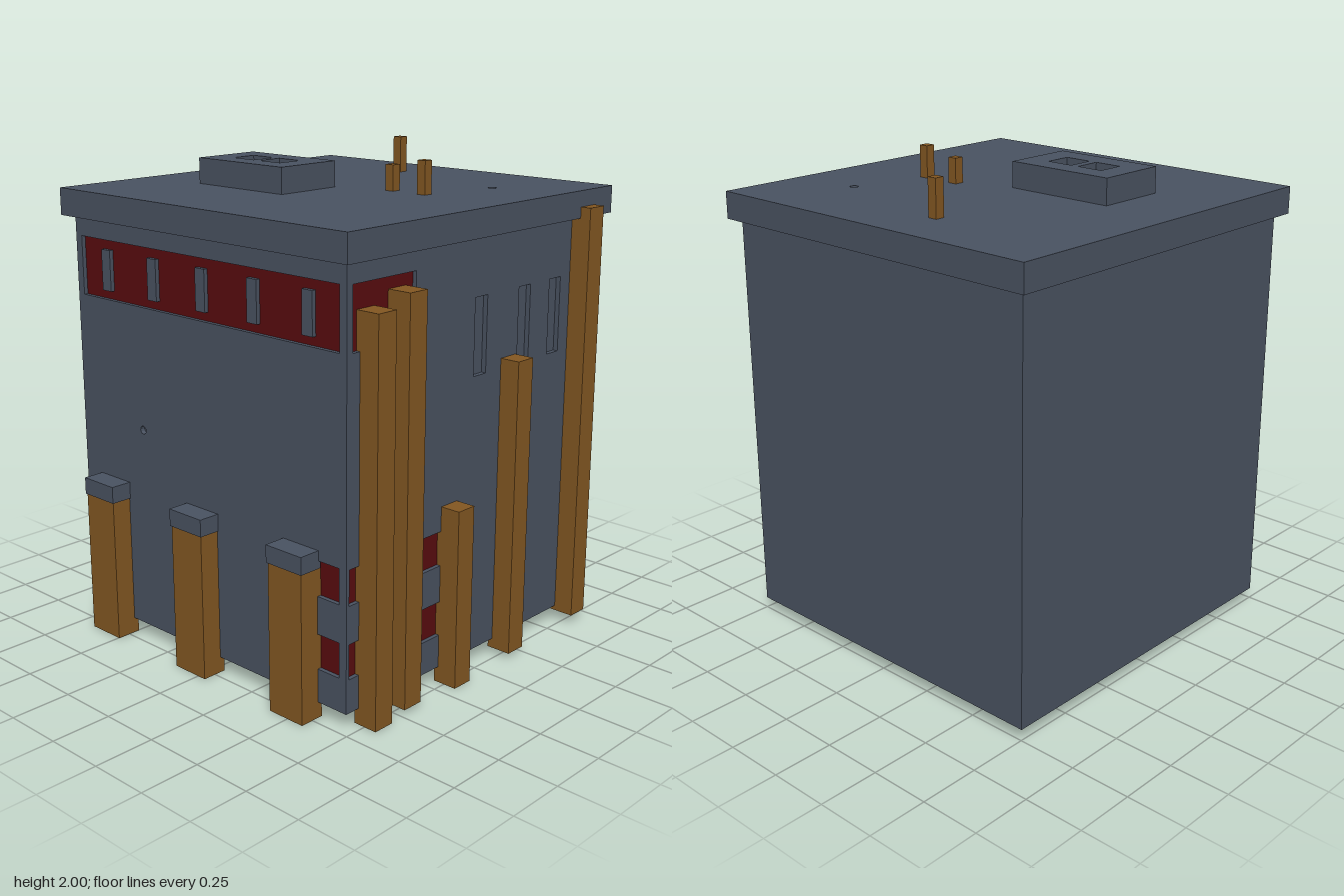
import * as THREE from 'three';

const slate = new THREE.MeshStandardMaterial({ color: 0x4a5362 });
slate.name = 'slate';
const wood = new THREE.MeshStandardMaterial({ color: 0x845822 });
wood.name = 'wood';
const red = new THREE.MeshStandardMaterial({ color: 0x5a0c0f });
red.name = 'darkRed';

// Box given by its min and max on each axis
function box(parent, name, mat, x0, x1, y0, y1, z0, z1) {
  const m = new THREE.Mesh(new THREE.BoxGeometry(x1 - x0, y1 - y0, z1 - z0), mat);
  m.position.set((x0 + x1) / 2, (y0 + y1) / 2, (z0 + z1) / 2);
  m.name = name;
  parent.add(m);
  return m;
}

function rect(PathType, x0, x1, y0, y1) {
  const p = new PathType();
  p.moveTo(x0, y0).lineTo(x1, y0).lineTo(x1, y1).lineTo(x0, y1).closePath();
  return p;
}

// Flat slab with rectangular openings and an optional round one
function panel(parent, name, outline, holes, depth, round) {
  const s = rect(THREE.Shape, ...outline);
  holes.forEach((h) => s.holes.push(rect(THREE.Path, ...h)));
  if (round) s.holes.push(new THREE.Path().absarc(round[0], round[1], 0.017, 0, Math.PI * 2));
  const g = new THREE.ExtrudeGeometry(s, { depth, bevelEnabled: false, curveSegments: 6 });
  const m = new THREE.Mesh(g, slate);
  m.name = name;
  parent.add(m);
  return m;
}

export function createModel() {
  const group = new THREE.Group();
  group.name = 'building';

  // Core, with thin outer walls that hold the recesses
  box(group, 'bodyCore', slate, -0.77, 0.7, 0.065, 1.745, -0.77, 0.7);

  const bands = [[1.42, 1.66], [0.2, 0.34], [0.49, 0.63]];
  const frontHoles = bands.map((b, i) => [i ? 0.5 : -0.735, 0.685, ...b]);
  const sideHoles = bands.map((b, i) => (i ? [-0.705, -0.15, ...b] : [-0.69, -0.36, ...b]));
  const slits = [-0.02, -0.292, -0.493].map((z) => [-z - 0.037, -z + 0.037, 1.205, 1.51]);

  panel(group, 'frontWall', [-0.77, 0.7, 0.065, 1.745], frontHoles, 0.02, [-0.39, 0.915])
    .position.z = 0.7;
  const side = panel(group, 'leftWall', [-0.72, 0.77, 0.065, 1.745], [...sideHoles, ...slits], 0.02);
  side.rotation.y = Math.PI / 2;
  side.position.x = 0.7;

  // Red bands on the recess floors
  frontHoles.forEach(([a, b, c, d]) => box(group, 'frontBand', red, a, b, c, d, 0.699, 0.703));
  sideHoles.forEach(([a, b, c, d]) => box(group, 'leftBand', red, 0.699, 0.703, c, d, -b, -a));

  // Uprights across the top window band
  for (let i = 0; i < 5; i++) {
    const x = -0.585 + i * 0.279;
    box(group, 'windowUpright', slate, x - 0.026, x + 0.026, 1.455, 1.62, 0.7, 0.72);
  }

  // Roof slab with a small drain hole
  const roof = panel(group, 'roof', [-0.81, 0.76, -0.76, 0.81], [], 0.11, [0.455, 0.415]);
  roof.rotation.x = -Math.PI / 2;
  roof.position.y = 1.74;

  // Roof hatch with two square wells
  const hatch = panel(group, 'roofHatch', [-0.495, -0.02, -0.295, 0.005],
    [[-0.39, -0.275, -0.2, -0.09], [-0.24, -0.125, -0.2, -0.09]], 0.105);
  hatch.rotation.x = -Math.PI / 2;
  hatch.position.y = 1.85;

  // Short wooden posts on the roof
  [[-0.163, -0.567, 2], [0.213, -0.088, 1.953], [0.375, -0.088, 1.982]].forEach(([x, z, top]) =>
    box(group, 'roofPost', wood, x - 0.02, x + 0.02, 1.84, top, z - 0.02, z + 0.02));

  // Capped front pillars
  [-0.582, -0.046, 0.492].forEach((x) => {
    box(group, 'frontPillar', wood, x - 0.085, x + 0.085, 0, 0.6, 0.7, 0.805);
    box(group, 'pillarCap', slate, x - 0.09, x + 0.09, 0.6, 0.67, 0.71, 0.81);
  });

  // Wooden posts of varied height along the left side
  [[0.608, 0, 1.565], [0.445, 0.025, 1.612], [0.147, 0, 0.73], [-0.198, 0.025, 1.245], [-0.64, 0.045, 1.785]]
    .forEach(([z, y0, y1]) => box(group, 'sidePost', wood, 0.7, 0.805, y0, y1, z - 0.046, z + 0.046));

  return group;
}
